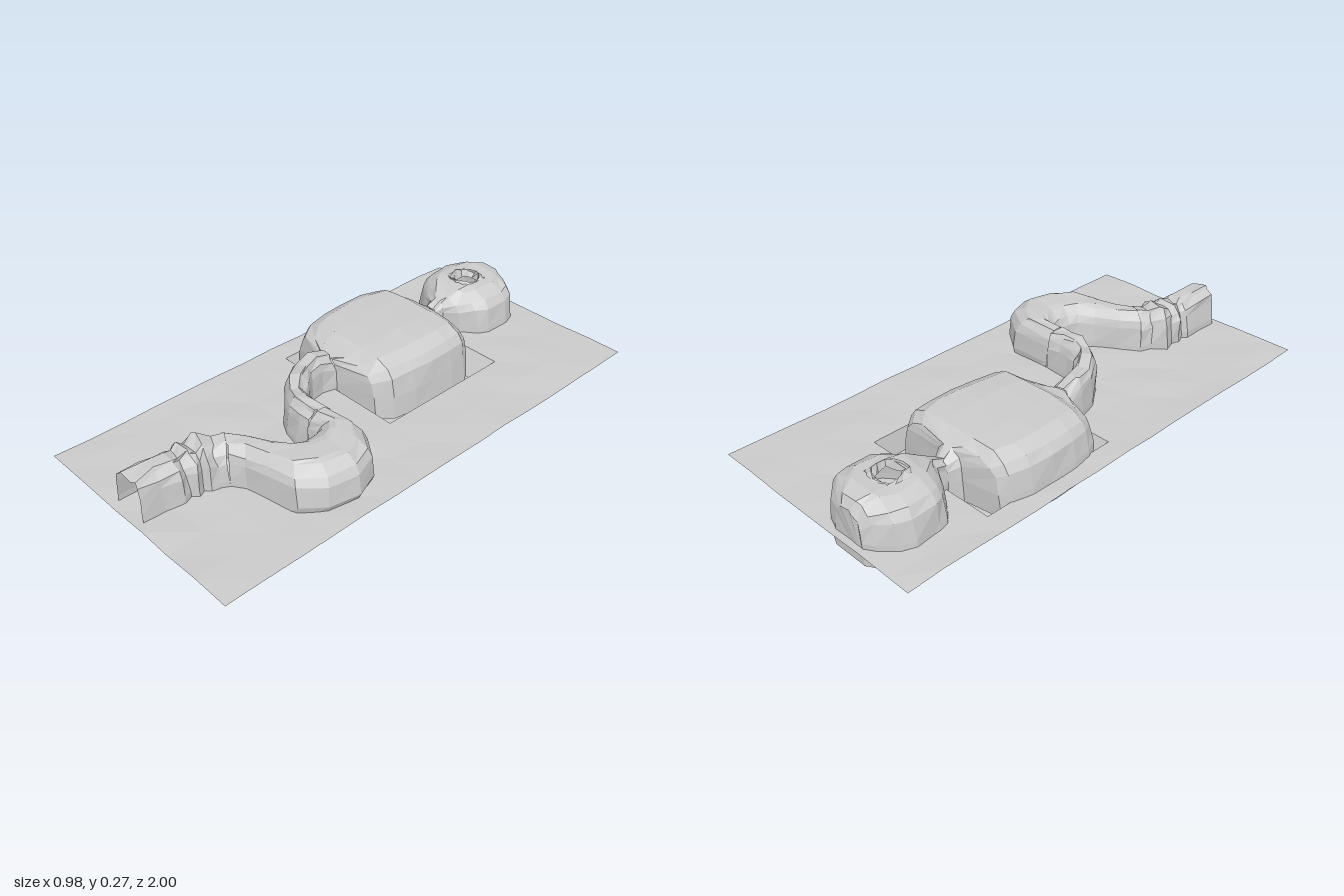
import * as THREE from 'three';

const material = (color = 0xcccccc) =>
  new THREE.MeshStandardMaterial({ color, flatShading: true, side: THREE.DoubleSide });

// Repeatable unevenness in -1..1
const noise = (a, b) => {
  const s = Math.sin(a * 12.99 + b * 78.23) * 43758.55;
  return (s - Math.floor(s)) * 2 - 1;
};

function meshFrom(name, positions, index) {
  const g = new THREE.BufferGeometry();
  g.setAttribute('position', new THREE.Float32BufferAttribute(positions.flat(), 3));
  g.setIndex(index);
  g.computeVertexNormals();
  const m = new THREE.Mesh(g, material());
  m.name = name;
  return m;
}

// Arched cross-section between a left and a right wall point
function archSection([lx, lz, rx, rz, top, baseR = 0.03], row, rough) {
  const w = Math.hypot(rx - lx, rz - lz);
  const s = Math.min(0.09, w * 0.27) / w;
  const y = (f) => 0.1 + (top - 0.1) * f;
  const profile = [
    [-0.12 * s, 0.03], [0, 0.12], [0.16 * s, y(0.6)], [0.42 * s, y(0.8)], [s, y(0.96)], [0.35, y(1)],
    [0.65, y(1)], [1 - s, y(0.96)], [1 - 0.42 * s, y(0.8)], [1 - 0.16 * s, y(0.6)], [1, 0.12],
    [1 + 0.12 * s - (baseR > 0.03 ? 0.12 : 0), baseR],
  ];
  return profile.map(([t, h], i) => {
    const j = i > 0 && i < 11 ? rough : 0;
    return [
      lx + (rx - lx) * t + noise(row, i) * j,
      h + noise(i, row + 5) * j * (i > 1 && i < 10 ? 1 : 0),
      lz + (rz - lz) * t + noise(row + 3, i) * j,
    ];
  });
}

// Loft of arches; skip(row, column) leaves openings
function loftArches(name, stations, { rough = 0.004, skip = () => false, cap = false } = {}) {
  const rows = stations.map((s, i) => archSection(s, i, rough));
  const n = rows[0].length;
  const index = [];
  for (let r = 0; r < rows.length - 1; r++) {
    for (let c = 0; c < n - 1; c++) {
      if (skip(r, c)) continue;
      const a = r * n + c;
      index.push(a, a + 1, a + n, a + 1, a + n + 1, a + n);
    }
  }
  const last = (rows.length - 1) * n;
  if (cap) for (let c = 1; c < n - 1; c++) index.push(last, last + c, last + c + 1);
  return meshFrom(name, rows.flat(), index);
}

const RIM = { x0: -0.4, x1: 0.19, z0: -0.59, z1: 0, y: 0.097 };

// Gently rippled ground sheet with a rectangular opening over the basin
function ground() {
  const xs = [-0.49, -0.4, -0.25, -0.1, 0.05, 0.19, 0.34, 0.49];
  const zs = [-1, -0.86, -0.72, -0.59, -0.44, -0.3, -0.15, 0, 0.14, 0.28, 0.42, 0.56, 0.7, 0.85, 1];
  const pos = [], index = [];
  zs.forEach((z, i) => xs.forEach((x, j) => {
    const atRim = x >= RIM.x0 && x <= RIM.x1 && z >= RIM.z0 && z <= RIM.z1;
    pos.push([x, RIM.y + (atRim ? 0 : noise(i, j) * 0.004), z]);
  }));
  for (let i = 0; i < zs.length - 1; i++) {
    for (let j = 0; j < xs.length - 1; j++) {
      const inside = xs[j] >= RIM.x0 && xs[j + 1] <= RIM.x1 && zs[i] >= RIM.z0 && zs[i + 1] <= RIM.z1;
      if (inside) continue;
      const a = i * xs.length + j, b = a + xs.length;
      index.push(a, b, a + 1, a + 1, b, b + 1);
    }
  }
  return meshFrom('ground', pos, index);
}

// Sunken floor with sloping sides
function basin() {
  const ring = (x0, x1, z0, z1, y) => [[x0, y, z0], [x1, y, z0], [x1, y, z1], [x0, y, z1]];
  const pos = [
    ...ring(RIM.x0, RIM.x1, RIM.z0, RIM.z1, RIM.y),
    ...ring(-0.37, 0.175, -0.53, -0.04, 0.009),
    [-0.18, 0, -0.28],
  ];
  const index = [];
  for (let i = 0; i < 4; i++) {
    const k = (i + 1) % 4;
    index.push(i, i + 4, k, k, i + 4, k + 4, i + 4, 8, k + 4);
  }
  return meshFrom('basin', pos, index);
}

// Torn lip around the skylight
function skylightRim() {
  const pos = [], index = [], n = 12;
  for (let i = 0; i < n; i++) {
    const a = (i / n) * Math.PI * 2, c = Math.cos(a), s = Math.sin(a);
    [[0.075, 0.25], [0.062, 0.266], [0.045, 0.235]].forEach(([r, y], k) => {
      const q = r + noise(i, k) * 0.01;
      pos.push([-0.16 + c * q, y + noise(k + 2, i) * 0.008, -0.795 + s * q]);
    });
    const b = i * 3, d = ((i + 1) % n) * 3;
    for (let k = 0; k < 2; k++) index.push(b + k, b + k + 1, d + k, d + k, b + k + 1, d + k + 1);
  }
  return meshFrom('skylightRim', pos, index);
}

// Small box with yellow straps under the skylight
function chest() {
  const g = new THREE.Group();
  g.name = 'chest';
  const add = (name, w, h, d, x, y, color) => {
    const m = new THREE.Mesh(new THREE.BoxGeometry(w, h, d), material(color));
    m.name = name;
    m.position.set(x, y, 0);
    g.add(m);
  };
  add('chestBody', 0.1, 0.04, 0.06, 0, 0.02);
  for (const x of [-0.035, 0.035]) add('chestStrap', 0.012, 0.043, 0.063, x, 0.021, 0xc9a227);
  g.position.set(-0.16, 0.095, -0.79);
  return g;
}

export function createModel() {
  const model = new THREE.Group();
  model.name = 'caveSystem';
  model.add(ground(), basin(), skylightRim(), chest());

  // Stations: leftX, leftZ, rightX, rightZ, roof height, right base height
  model.add(loftArches('entranceTunnel', [
    [-0.13, 0.965, 0.02, 0.965, 0.25], [-0.13, 0.88, 0.02, 0.88, 0.25],
    [-0.13, 0.8, 0.03, 0.81, 0.25], [-0.115, 0.78, 0.015, 0.78, 0.24],
    [-0.135, 0.74, 0.04, 0.75, 0.255], [-0.115, 0.71, 0.03, 0.73, 0.245],
    [-0.135, 0.66, 0.05, 0.71, 0.26], [-0.09, 0.62, 0.05, 0.68, 0.245],
    [-0.07, 0.57, 0.07, 0.645, 0.25],
  ], { rough: 0.007 }));

  model.add(loftArches('bendChamber', [
    [-0.07, 0.57, 0.07, 0.645, 0.25], [0.0, 0.52, 0.12, 0.615, 0.25],
    [0.09, 0.47, 0.22, 0.595, 0.255], [0.14, 0.43, 0.33, 0.575, 0.26, 0.045],
    [0.155, 0.39, 0.4, 0.49, 0.26, 0.07], [0.155, 0.35, 0.425, 0.37, 0.26, 0.08],
    [0.15, 0.33, 0.385, 0.27, 0.26, 0.07], [0.135, 0.315, 0.29, 0.205, 0.26, 0.045],
    [0.1, 0.325, 0.11, 0.205, 0.25],
  ]));

  model.add(loftArches('linkTunnel', [
    [0.1, 0.325, 0.11, 0.205, 0.25], [0.05, 0.33, 0.05, 0.205, 0.25],
    [-0.02, 0.32, 0.0, 0.205, 0.255], [-0.08, 0.285, -0.04, 0.195, 0.245],
    [-0.14, 0.225, -0.07, 0.16, 0.26], [-0.195, 0.14, -0.11, 0.11, 0.25],
    [-0.22, 0.06, -0.12, 0.05, 0.25], [-0.23, -0.01, -0.11, -0.01, 0.23],
  ], { rough: 0.006 }));

  model.add(loftArches('mainChamber', [
    [-0.23, -0.01, -0.11, -0.01, 0.22], [-0.38, -0.06, 0.06, -0.045, 0.225],
    [-0.405, -0.11, 0.11, -0.1, 0.26], [-0.42, -0.19, 0.125, -0.2, 0.265],
    [-0.425, -0.3, 0.13, -0.3, 0.267], [-0.42, -0.4, 0.13, -0.4, 0.267],
    [-0.4, -0.48, 0.12, -0.48, 0.262], [-0.37, -0.51, 0.09, -0.525, 0.24],
    [-0.22, -0.535, -0.09, -0.54, 0.225], [-0.195, -0.58, -0.125, -0.58, 0.2],
  ], { rough: 0.003 }));

  // Roof opening between two stations forms the skylight
  model.add(loftArches('backChamber', [
    [-0.195, -0.58, -0.125, -0.58, 0.2], [-0.2, -0.62, -0.115, -0.62, 0.22],
    [-0.27, -0.65, -0.06, -0.65, 0.235], [-0.33, -0.7, 0.0, -0.7, 0.255],
    [-0.345, -0.745, 0.025, -0.745, 0.262], [-0.35, -0.845, 0.03, -0.845, 0.262],
    [-0.33, -0.9, 0.01, -0.9, 0.262], [-0.28, -0.95, -0.05, -0.95, 0.25],
    [-0.24, -0.975, -0.1, -0.975, 0.215],
  ], { rough: 0.005, cap: true, skip: (r, c) => r === 4 && c === 5 }));

  return model;
}
